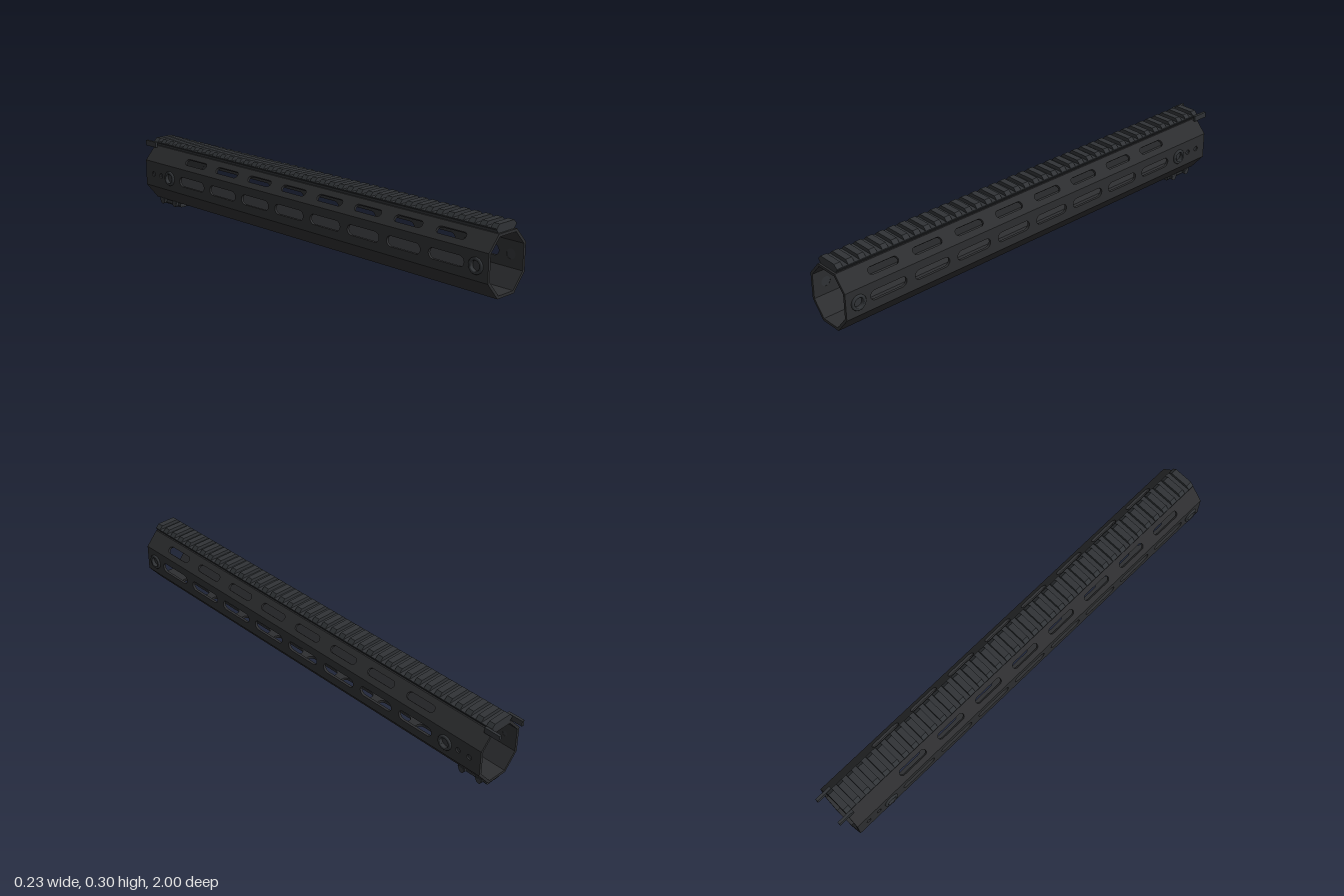
import * as THREE from 'three';

const tubeMat = new THREE.MeshStandardMaterial({ color: 0x2d2e30 });
const partMat = new THREE.MeshStandardMaterial({ color: 0x303336 });
const WALL = 0.011, BACK = -0.955, FRONT = 0.998;
const SLOT_Z = Array.from({ length: 8 }, (_, i) => 0.805 - i * 0.2055);

// Octagonal section, counter-clockwise seen from the front
const SECTION = [
  [0.047, 0.025], [0.105, 0.094], [0.105, 0.206], [0.051, 0.266],
  [-0.051, 0.266], [-0.105, 0.206], [-0.105, 0.094], [-0.047, 0.025],
].map(([x, y]) => new THREE.Vector2(x, y));

function add(group, name, geometry, material, x = 0, y = 0, z = 0) {
  const mesh = new THREE.Mesh(geometry, material);
  mesh.name = name;
  mesh.position.set(x, y, z);
  group.add(mesh);
  return mesh;
}

function slotHole(z, width, length) {
  const r = width / 2, h = length / 2 - r;
  const path = new THREE.Path();
  path.absarc(0, z + h, r, 0, Math.PI, false);
  path.absarc(0, z - h, r, Math.PI, Math.PI * 2, false);
  path.closePath();
  return path;
}

function roundHole(z, r) {
  const path = new THREE.Path();
  path.absarc(0, z, r, 0, Math.PI * 2, false);
  return path;
}

function prism(points, z0, z1) {
  const shape = new THREE.Shape(points.map(([x, y]) => new THREE.Vector2(x, y)));
  const g = new THREE.ExtrudeGeometry(shape, { depth: z1 - z0, bevelEnabled: false });
  return g.translate(0, 0, z0);
}

// One wall of the tube: a slotted plate with mitred long edges
function panel(i, holes) {
  const n = SECTION.length;
  const [prev, a, b, next] = [-1, 0, 1, 2].map(k => SECTION[(i + k + n) % n]);
  const u = b.clone().sub(a), half = u.length() / 2;
  u.normalize();
  const mitre = (d1, d2) => WALL * Math.tan(Math.acos(d1.dot(d2)) / 2);
  const insetA = mitre(a.clone().sub(prev).normalize(), u);
  const insetB = mitre(u, next.clone().sub(b).normalize());
  const shape = new THREE.Shape([
    new THREE.Vector2(-half, BACK), new THREE.Vector2(half, BACK),
    new THREE.Vector2(half, FRONT), new THREE.Vector2(-half, FRONT)]);
  shape.holes.push(...holes);
  const g = new THREE.ExtrudeGeometry(shape, { depth: WALL, bevelEnabled: false, curveSegments: 10 });
  g.translate(0, 0, -WALL);
  const p = g.attributes.position;
  for (let k = 0; k < p.count; k++) {
    if (p.getZ(k) > -WALL / 2) continue;
    if (p.getX(k) < -half + 1e-5) p.setX(k, -half + insetA);
    else if (p.getX(k) > half - 1e-5) p.setX(k, half - insetB);
  }
  const m = new THREE.Matrix4().makeBasis(
    new THREE.Vector3(u.x, u.y, 0), new THREE.Vector3(0, 0, 1), new THREE.Vector3(u.y, -u.x, 0));
  m.setPosition((a.x + b.x) / 2, (a.y + b.y) / 2, 0);
  g.applyMatrix4(m);
  g.computeVertexNormals();
  return g;
}

export function createModel() {
  const model = new THREE.Group();
  model.name = 'slottedRailTube';

  // Tube walls
  const tube = new THREE.Group();
  tube.name = 'tube';
  model.add(tube);
  const socketZ = [0.943, -0.785], pinZ = [-0.848, -0.902];
  const sideHoles = () => [
    ...SLOT_Z.map(z => slotHole(z, 0.042, 0.166)),
    ...socketZ.map(z => roundHole(z, 0.02)),
    ...pinZ.map(z => roundHole(z, 0.011))];
  const upperHoles = () => SLOT_Z.map(z => slotHole(z, 0.03, 0.137));
  const bottomHoles = () => SLOT_Z.map(z => slotHole(z, 0.042, 0.166));
  const walls = [
    ['lowerLeftWall'], ['leftWall', sideHoles], ['upperLeftWall', upperHoles], ['topWall'],
    ['upperRightWall', upperHoles], ['rightWall', sideHoles], ['lowerRightWall'], ['bottomWall', bottomHoles]];
  walls.forEach(([name, holes], i) => add(tube, name, panel(i, holes ? holes() : []), tubeMat));

  // Top rail with cross teeth
  const rail = new THREE.Group();
  rail.name = 'topRail';
  model.add(rail);
  add(rail, 'railBase', prism([[-0.042, 0.262], [0.042, 0.262], [0.056, 0.28], [0.056, 0.284],
    [-0.056, 0.284], [-0.056, 0.28]], BACK, 0.99), partMat);
  const tooth = prism([[-0.056, 0.284], [0.056, 0.284], [0.041, 0.299], [-0.041, 0.299]], -0.0135, 0.0135);
  for (let i = 0; i < 39; i++) add(rail, 'railTooth', tooth, partMat, 0, 0, 0.977 - i * 0.0505);

  // Socket rim: stepped ring, axis along y before turning
  const rim = new THREE.LatheGeometry([[0.02, -0.008], [0.02, 0.006], [0.023, 0.008],
    [0.029, 0.008], [0.032, 0.005], [0.032, -0.002]].map(([r, y]) => new THREE.Vector2(r, y)), 24);
  // Order the profile so that its faces point outwards
  const flip = rim.index.array;
  const pos = rim.attributes.position, nor = rim.attributes.normal;
  const va = new THREE.Vector3().fromBufferAttribute(pos, flip[0]);
  const vb = new THREE.Vector3().fromBufferAttribute(pos, flip[1]);
  const vc = new THREE.Vector3().fromBufferAttribute(pos, flip[2]);
  const facing = vb.sub(va).cross(vc.sub(va)).dot(new THREE.Vector3(pos.getX(0), 0, pos.getZ(0)));
  if (facing > 0) {
    for (let k = 0; k < flip.length; k += 3) [flip[k], flip[k + 1]] = [flip[k + 1], flip[k]];
    for (let k = 0; k < nor.count * 3; k++) nor.array[k] *= -1;
  }

  for (const s of [1, -1]) {
    const side = s > 0 ? 'left' : 'right';
    // Sling sockets and blind pin holes on the side walls
    for (const z of socketZ) {
      add(model, side + 'SocketRim', rim, partMat, s * 0.105, 0.15, z).rotation.z = -s * Math.PI / 2;
      add(model, side + 'SocketFloor', new THREE.CylinderGeometry(0.022, 0.022, 0.003, 24), partMat,
        s * 0.0965, 0.15, z).rotation.z = Math.PI / 2;
    }
    for (const z of pinZ) {
      add(model, side + 'PinFloor', new THREE.CylinderGeometry(0.012, 0.012, 0.003, 16), partMat,
        s * 0.0965, 0.15, z).rotation.z = Math.PI / 2;
    }

    // Rear locating tab beside the rail
    add(model, side + 'RearTab', new THREE.BoxGeometry(0.011, 0.024, 0.07), partMat, s * 0.0625, 0.272, -0.965);

    // Clamp half under the rear end, with bolt heads
    const clamp = new THREE.Group();
    clamp.name = side + 'Clamp';
    model.add(clamp);
    const outline = [[0.004, 0.001], [0.033, 0.001], [0.039, 0.008], [0.039, 0.027], [0.004, 0.027]]
      .map(([x, y]) => [s * x, y]);
    add(clamp, 'clampBlock', prism(s > 0 ? outline : outline.reverse(), -0.94, -0.8), partMat);
    for (const z of [-0.828, -0.912]) {
      add(clamp, 'clampLug', new THREE.BoxGeometry(0.014, 0.014, 0.032), partMat, s * 0.044, 0.021, z);
      add(clamp, 'clampBolt', new THREE.CylinderGeometry(0.0125, 0.0125, 0.016, 16), partMat,
        s * 0.044, 0.0135, z).rotation.z = Math.PI / 2;
    }
  }
  return model;
}
